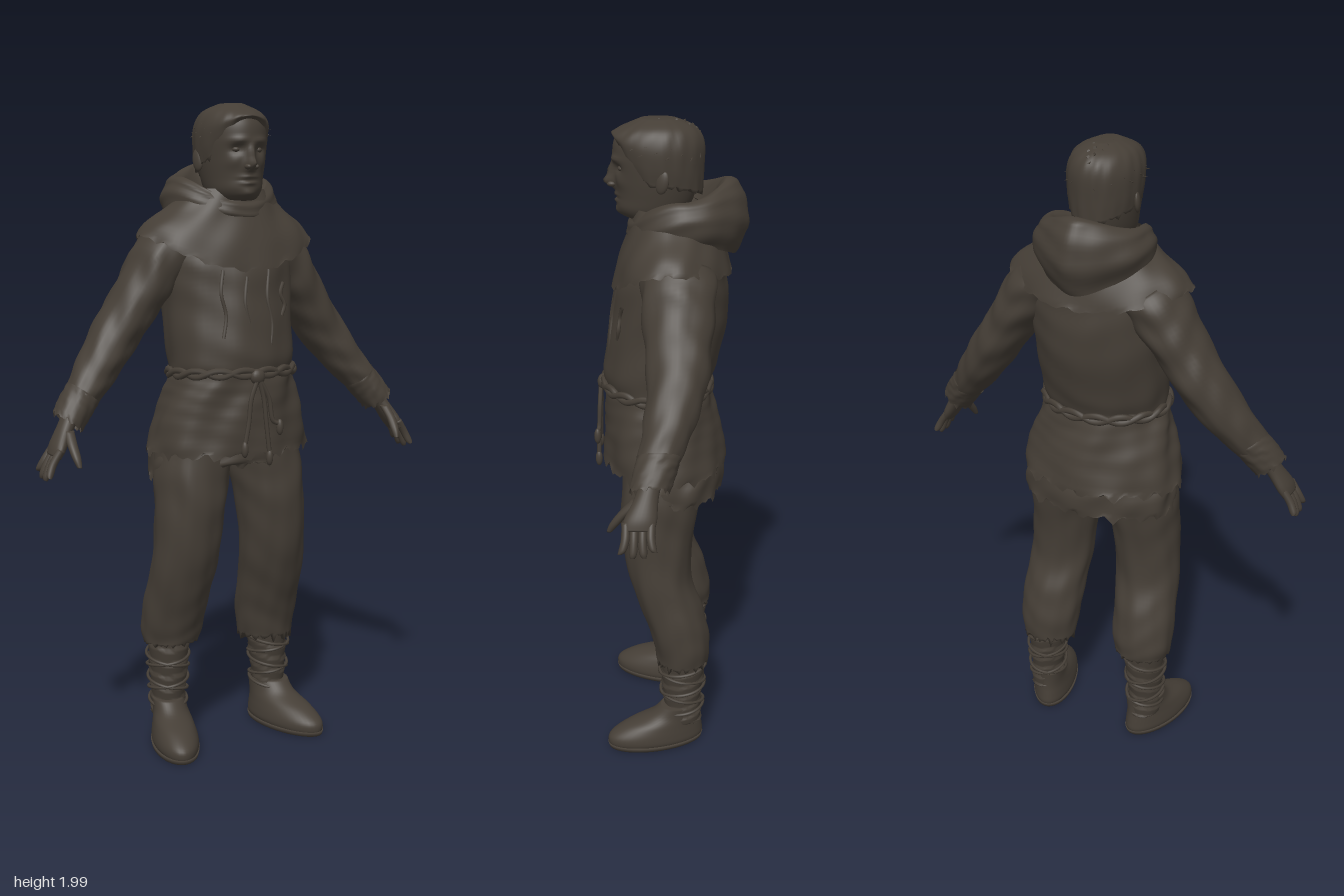
import * as THREE from 'three';

const cloth = new THREE.MeshStandardMaterial({ color: 0x453e36, side: THREE.DoubleSide });
cloth.name = 'dark brown';

const spline = (a, b, c, d, t) =>
  0.5 * (2 * b + (c - a) * t + (2 * a - 5 * b + 4 * c - d) * t * t + (3 * b - a - 3 * c + d) * t * t * t);

// Rows are [y, x, z, radiusX, radiusZ, frontLift, backLift]; s mirrors, tilt leans the rings,
// warp(p, angle, t) edits a point given as an offset from its ring centre.
function loft(name, input, { seg = 40, sub = 5, s = 1, tilt = 0, warp = null, caps = true } = {}) {
  const rows = input[0][0] > input[input.length - 1][0] ? [...input].reverse() : input;
  const at = (i, k) => rows[Math.max(0, Math.min(rows.length - 1, i))][k] || 0;
  const pos = [], idx = [], count = (rows.length - 1) * sub + 1;
  for (let r = 0; r < count; r++) {
    const i = Math.min(Math.floor(r / sub), rows.length - 2), f = r / sub - i;
    const [y, x, z, rx, rz, up, back] = [0, 1, 2, 3, 4, 5, 6].map(
      (k) => spline(at(i - 1, k), at(i, k), at(i + 1, k), at(i + 2, k), f));
    for (let j = 0; j < seg; j++) {
      const a = (j / seg) * Math.PI * 2, c = Math.cos(a), u = Math.sin(a) * rx;
      const p = new THREE.Vector3(u * Math.cos(tilt), u * Math.sin(tilt) + (c > 0 ? up : back) * c * c, c * rz);
      const centre = new THREE.Vector3(x, y, z);
      if (warp) warp(p, a, r / (count - 1), centre);
      p.add(centre);
      pos.push(p.x * s, p.y, p.z);
    }
  }
  const tri = (a, b, c) => (s > 0 ? idx.push(a, b, c) : idx.push(a, c, b));
  for (let r = 0; r < count - 1; r++) for (let j = 0; j < seg; j++) {
    const a = r * seg + j, b = r * seg + (j + 1) % seg;
    tri(a, b, b + seg); tri(a, b + seg, a + seg);
  }
  if (caps) for (const [row, r, top] of [[rows[0], 0, false], [rows[rows.length - 1], count - 1, true]]) {
    const m = pos.length / 3;
    pos.push(row[1] * s, row[0], row[2]);
    for (let j = 0; j < seg; j++) {
      const a = r * seg + j, b = r * seg + (j + 1) % seg;
      top ? tri(a, b, m) : tri(b, a, m);
    }
  }
  const g = new THREE.BufferGeometry();
  g.setAttribute('position', new THREE.Float32BufferAttribute(pos, 3));
  g.setIndex(idx);
  g.computeVertexNormals();
  return named(name, g);
}

function named(name, geometry) {
  const m = new THREE.Mesh(geometry, cloth);
  m.name = name;
  return m;
}

const tube = (name, pts, r, closed = false, n = 48) => named(name, new THREE.TubeGeometry(
  new THREE.CatmullRomCurve3(pts.map((p) => new THREE.Vector3(...p)), closed), n, r, 6, closed));

const ball = (name, x, y, z, sx, sy, sz) => {
  const g = new THREE.SphereGeometry(1, 16, 12);
  g.scale(sx, sy, sz); g.translate(x, y, z);
  return named(name, g);
};

// Cloth folds: vertical pleats, crosswise creases, and a torn lower hem
const folds = (pleat, crease = 0, rag = 0, n = 6) => (p, a, t) => {
  const k = 1 + pleat * (Math.sin(n * a + 2 * Math.sin(5 * t)) + 0.6 * Math.sin((n + 5) * a - 6 * t))
    + crease * Math.sin(34 * t + 2.5 * Math.sin(a * 2 + 3 * t));
  p.x *= k; p.z *= k;
  if (t < 0.02) p.y += rag * (Math.sin(a * 17) + Math.sin(a * 29 + 1));
};

// Face relief: [x, y, width, height, amount]
const relief = [
  [0, 1.808, 0.014, 0.018, 0.034], [0, 1.84, 0.011, 0.022, 0.018], [0.038, 1.852, 0.019, 0.013, -0.014],
  [0.036, 1.878, 0.026, 0.009, 0.008], [0.05, 1.815, 0.02, 0.018, 0.005], [0, 1.772, 0.026, 0.006, 0.008],
  [0, 1.764, 0.024, 0.003, -0.006], [0, 1.755, 0.022, 0.006, 0.008], [0, 1.722, 0.024, 0.014, 0.01],
];
const face = (p, a, t, c) => {
  if (p.z < 0) return;
  const y = p.y + c.y;
  let dz = 0;
  for (const [x, fy, w, h, amt] of relief)
    dz += amt * Math.exp(-(((Math.abs(p.x) - x) / w) ** 2) - ((y - fy) / h) ** 2);
  p.z += dz;
};

function buildHead() {
  const g = new THREE.Group();
  g.name = 'head';
  g.add(loft('face', [
    [1.62, 0, -0.01, 0.07, 0.07], [1.69, 0, 0.01, 0.066, 0.07], [1.71, 0, 0.04, 0.068, 0.09],
    [1.735, 0, 0.045, 0.08, 0.105], [1.77, 0, 0.038, 0.088, 0.113], [1.82, 0, 0.034, 0.096, 0.122],
    [1.88, 0, 0.033, 0.101, 0.13], [1.93, 0, 0.03, 0.098, 0.127], [1.965, 0, 0.03, 0.076, 0.1],
    [1.985, 0, 0.03, 0.03, 0.04]], { seg: 96, sub: 8, warp: face }));
  g.add(loft('hair', [
    [1.81, 0, 0.025, 0.1, 0.125, 0.13, -0.03], [1.86, 0, 0.028, 0.107, 0.131, 0.085, -0.02],
    [1.92, 0, 0.03, 0.106, 0.134, 0.03, 0], [1.965, 0, 0.03, 0.084, 0.108], [1.99, 0, 0.03, 0.035, 0.05]],
  { seg: 64, sub: 6, warp: folds(0.009, 0, 0.006, 15) }));
  // Short tufts over the scalp
  const tuft = new THREE.ConeGeometry(0.006, 0.04, 5), up = new THREE.Vector3(0, 1, 0);
  for (let i = 0; i < 80; i++) {
    const h = 0.12 + 0.86 * (i / 80), a = i * 2.4, q = Math.sqrt(1 - h * h);
    const n = new THREE.Vector3(q * Math.sin(a), h, q * Math.cos(a));
    if (n.z > 0.5 && h < 0.62) continue;
    const m = named('hairTuft', tuft);
    m.position.set(n.x * 0.107, 1.875 + n.y * 0.112, 0.03 + n.z * 0.134);
    m.quaternion.setFromUnitVectors(up, new THREE.Vector3(n.x, n.y * 0.15 - 0.3, n.z + 0.9).normalize());
    g.add(m);
  }
  for (const s of [1, -1]) {
    g.add(ball('eye', s * 0.037, 1.852, 0.132, 0.013, 0.009, 0.014));
    g.add(ball('nostril', s * 0.013, 1.802, 0.165, 0.009, 0.008, 0.014));
    const ear = ball('ear', 0, 0, 0, 0.01, 0.034, 0.02);
    ear.position.set(s * 0.102, 1.825, 0.015);
    ear.rotation.set(-0.2, s * -0.35, 0);
    g.add(ear);
  }
  return g;
}

function buildClothes() {
  const g = new THREE.Group();
  g.name = 'clothes';
  g.add(loft('tunicTop', [
    [1.18, 0, 0.035, 0.192, 0.155], [1.25, 0, 0.028, 0.2, 0.17], [1.4, 0, 0, 0.205, 0.175],
    [1.52, 0, -0.01, 0.212, 0.163], [1.6, 0, -0.02, 0.195, 0.135], [1.67, 0, -0.01, 0.1, 0.09]],
  { seg: 72, sub: 8, warp: folds(0.012, 0.007) }));
  g.add(loft('tunicSkirt', [
    [0.945, 0, 0.01, 0.263, 0.19], [1.05, 0, 0.02, 0.24, 0.178], [1.14, 0, 0.03, 0.212, 0.165],
    [1.2, 0, 0.035, 0.192, 0.156]], { seg: 96, sub: 8, caps: false, warp: folds(0.02, 0.004, 0.009) }));
  g.add(loft('undershirtHem', [
    [0.865, 0, -0.012, 0.25, 0.158, 0.045, 0], [0.93, 0, -0.01, 0.247, 0.16], [1.0, 0, 0, 0.22, 0.15]],
  { seg: 96, caps: false, warp: folds(0.018, 0, 0.009) }));
  g.add(loft('mantle', [
    [1.6, 0, -0.01, 0.287, 0.178, -0.1, -0.05], [1.64, 0, -0.01, 0.255, 0.16, -0.06, -0.03],
    [1.685, 0, -0.01, 0.19, 0.13, -0.02, 0], [1.74, 0, 0, 0.13, 0.1]],
  { seg: 96, caps: false, warp: folds(0.012, 0, 0.004, 7) }));
  // Lowered hood, pinched to a point at the back
  g.add(loft('hood', [
    [1.66, 0, -0.05, 0.17, 0.15, -0.03, -0.06], [1.71, 0, -0.055, 0.183, 0.178, -0.05, -0.02],
    [1.755, 0, -0.05, 0.167, 0.165, -0.06, 0.03], [1.777, 0, -0.04, 0.142, 0.14, -0.07, 0.045],
    [1.75, 0, -0.03, 0.118, 0.115, -0.06, 0.045], [1.66, 0, -0.01, 0.085, 0.085]],
  { seg: 72, sub: 6, caps: false, warp: (p, a, t) => {
    const back = Math.max(0, -Math.cos(a));
    p.x *= 1 - 0.32 * back * back;
    folds(0.01, 0.012)(p, a, t);
  } }));

  // Twisted rope belt, its knot and hanging ends
  for (const k of [0, 1]) {
    const ring = [];
    for (let i = 0; i < 48; i++) {
      const a = (i / 48) * Math.PI * 2, w = a * 8 + k * Math.PI;
      ring.push([(0.2 + 0.004 * Math.cos(w)) * Math.sin(a), 1.19 + 0.01 * Math.sin(w) + 0.006 * Math.cos(a),
        0.035 + 0.165 * Math.cos(a)]);
    }
    g.add(tube('ropeBelt', ring, 0.01, true, 192));
  }
  g.add(ball('beltKnot', 0, 1.185, 0.205, 0.024, 0.024, 0.016));
  for (const [x, y] of [[-0.05, 0.98], [0.035, 0.95], [0.07, 1.04]]) {
    g.add(tube('beltEnd', [[0, 1.185, 0.21], [x * 0.5, 1.12, 0.212], [x * 0.7, 1.05, 0.215], [x, y, 0.218]], 0.007));
    g.add(ball('beltTassel', x, y - 0.01, 0.218, 0.011, 0.025, 0.011));
  }
  // Raised seams down the chest
  for (const [x, y0, y1] of [[-0.09, 1.5, 1.3], [-0.02, 1.48, 1.25], [0.06, 1.5, 1.26], [0.12, 1.46, 1.36]]) {
    const pts = [0, 1, 2, 3].map((i) => {
      const y = y0 + (y1 - y0) * i / 3, z = 0.02 + (1.25 - y) * 0.11, rz = 0.172 - Math.max(0, y - 1.42) * 0.08;
      return [x + 0.006 * (-1) ** i, y, z + rz * Math.sqrt(1 - (x / 0.207) ** 2)];
    });
    g.add(tube('chestSeam', pts, 0.006));
  }
  return g;
}

function buildArm(s) {
  const g = new THREE.Group();
  g.name = s > 0 ? 'leftArm' : 'rightArm';
  g.add(loft('sleeve', [
    [1.58, 0.165, -0.03, 0.09, 0.11], [1.51, 0.222, -0.035, 0.086, 0.108], [1.42, 0.282, -0.035, 0.076, 0.098],
    [1.32, 0.35, -0.035, 0.073, 0.086], [1.22, 0.422, -0.015, 0.065, 0.073], [1.14, 0.485, 0.012, 0.053, 0.06],
    [1.08, 0.535, 0.033, 0.044, 0.048]], { s, tilt: 0.64, sub: 8, warp: folds(0.015, 0.035) }));
  g.add(loft('cuff', [
    [1.145, 0.482, 0.012, 0.055, 0.062], [1.11, 0.51, 0.023, 0.054, 0.06], [1.065, 0.543, 0.037, 0.05, 0.056]],
  { s, tilt: 0.64, caps: false, warp: folds(0.02, 0.02, 0.005) }));
  g.add(loft('palm', [
    [1.1, 0.52, 0.03, 0.027, 0.03], [1.05, 0.553, 0.045, 0.023, 0.034], [1.0, 0.583, 0.06, 0.022, 0.046],
    [0.972, 0.598, 0.066, 0.016, 0.044]], { s, tilt: 0.5, seg: 24 }));
  // Four curled fingers and a thumb
  for (const [z0, z1, drop] of [[0.03, 0.018, 0.055], [0.053, 0.048, 0.072], [0.077, 0.08, 0.074], [0.1, 0.115, 0.062]])
    g.add(loft('finger', [
      [0.995, 0.588, z0, 0.012, 0.012], [0.98 - drop * 0.35, 0.612, z0, 0.012, 0.012],
      [0.975 - drop * 0.75, 0.626, (z0 + z1) / 2, 0.011, 0.011], [0.98 - drop, 0.63, z1, 0.006, 0.006]],
    { s, tilt: 0.4, seg: 12 }));
  g.add(loft('thumb', [
    [1.045, 0.552, 0.07, 0.016, 0.018], [1.01, 0.555, 0.105, 0.015, 0.016], [0.975, 0.553, 0.132, 0.013, 0.014],
    [0.948, 0.55, 0.148, 0.007, 0.008]], { s, seg: 14 }));
  return g;
}

function buildLeg(s) {
  const g = new THREE.Group();
  g.name = s > 0 ? 'leftLeg' : 'rightLeg';
  g.add(loft('trouserLeg', [
    [0.325 - (s > 0 ? 0.025 : 0), 0.172, -0.05, 0.09, 0.082], [0.38, 0.17, -0.043, 0.1, 0.09],
    [0.48, 0.165, -0.015, 0.102, 0.097], [0.6, 0.155, 0.024, 0.104, 0.097], [0.75, 0.143, 0.03, 0.108, 0.114],
    [0.87, 0.13, 0.018, 0.119, 0.125], [0.97, 0.115, 0.005, 0.12, 0.13]],
  { s, seg: 56, sub: 8, warp: folds(0.014, 0.012, s > 0 ? 0.012 : 0.005) }));
  g.add(loft('legWrap', [
    [0.08, 0.185, -0.05, 0.052, 0.06], [0.16, 0.184, -0.048, 0.053, 0.06], [0.26, 0.181, -0.05, 0.061, 0.069],
    [0.36, 0.178, -0.05, 0.064, 0.071]], { s, sub: 14, warp: (p, a, t) => {
    const v = t * 7 + 0.35 * Math.sin(a + 1), k = 0.96 + 0.1 * (v - Math.floor(v));
    p.x *= k; p.z *= k;
  } }));
  // Crossed cords round the wrap
  for (const d of [1, -1]) {
    const pts = [];
    for (let i = 0; i <= 40; i++) {
      const t = i / 40, a = d * t * Math.PI * 5 + 0.5, r = 0.058 + 0.01 * t;
      pts.push([s * (0.184 + r * Math.sin(a)), 0.11 + 0.19 * t, -0.049 + (r + 0.008) * Math.cos(a)]);
    }
    g.add(tube('legCord', pts, 0.005, false, 120));
  }
  // Shoe turned slightly outward
  const turn = (p, a, t, c) => { p.x += 0.22 * (p.z + c.z); };
  g.add(loft('shoe', [
    [0, 0.193, 0.038, 0.062, 0.145], [0.02, 0.193, 0.038, 0.073, 0.153], [0.045, 0.193, 0.035, 0.072, 0.148],
    [0.075, 0.193, 0.013, 0.065, 0.122], [0.105, 0.193, -0.025, 0.057, 0.083], [0.14, 0.194, -0.046, 0.056, 0.064]],
  { s, warp: turn }));
  g.add(loft('shoeSole', [[0, 0.193, 0.038, 0.073, 0.15], [0.014, 0.193, 0.038, 0.076, 0.154]],
    { s, sub: 1, warp: turn }));
  return g;
}

export function createModel() {
  const model = new THREE.Group();
  model.name = 'hoodedPeasant';
  model.add(buildHead(), buildClothes());
  for (const s of [1, -1]) model.add(buildArm(s), buildLeg(s));
  return model;
}
